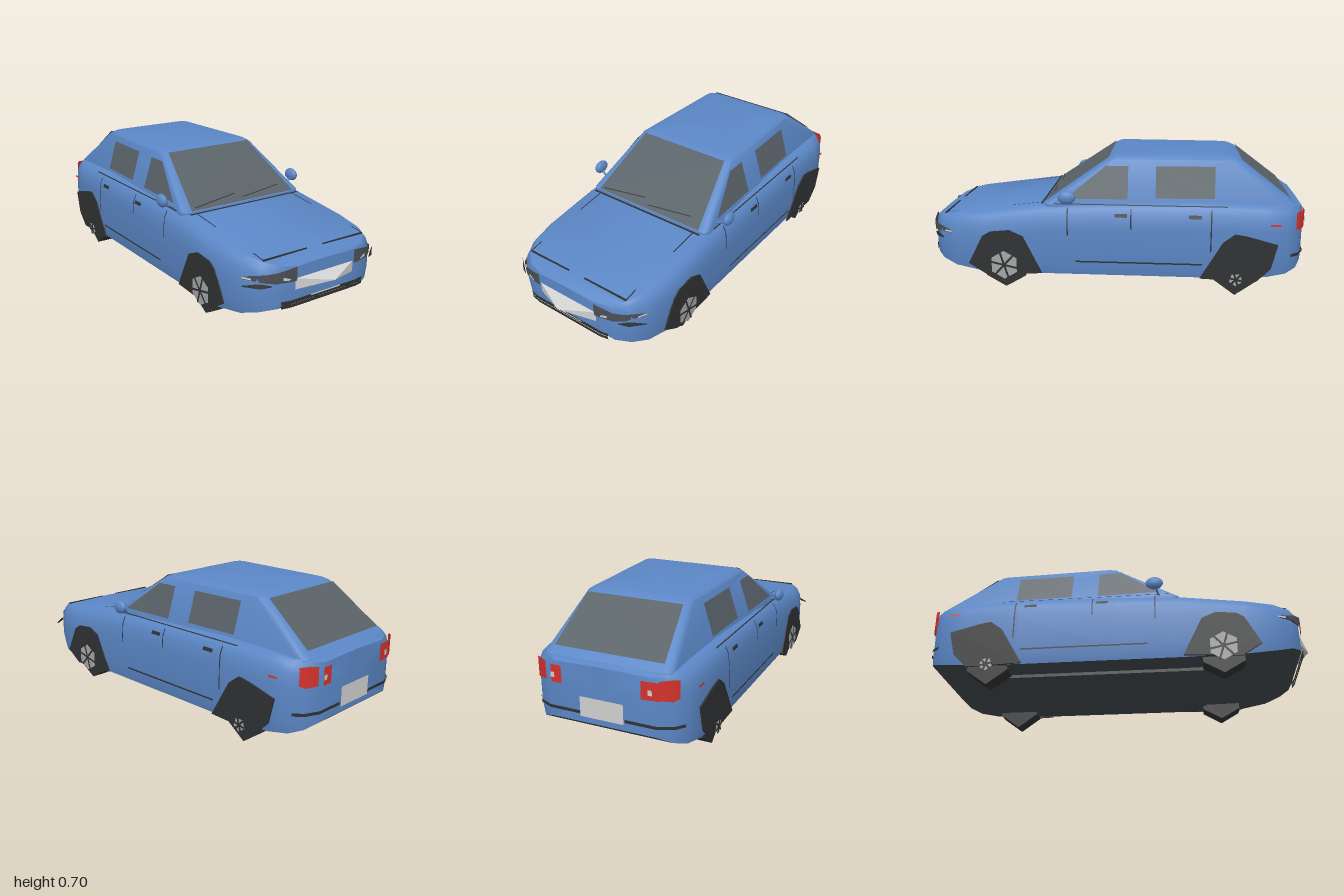
import * as THREE from 'three';
import { toCreasedNormals } from 'three/addons/utils/BufferGeometryUtils.js';

const mat = (name, color) => new THREE.MeshStandardMaterial({ name, color, side: THREE.DoubleSide });
const paint = mat('blue paint', 0x5b87c6), dark = mat('black trim', 0x303132), under = mat('slate underbody', 0x43494e),
  glass = mat('tinted glass', 0x596268), lampGlass = mat('dark lamp glass', 0x4c5054), silver = mat('silver', 0xd0d0d0),
  alloy = mat('grey alloy', 0xa4a5a6), red = mat('red lens', 0xd4322d);

// Piecewise linear lookup in a table sorted by its first column
function look(table, v, col = 1) {
  const up = table[0][0] < table[table.length - 1][0];
  for (let i = 0; i < table.length - 1; i++) {
    const a = table[i], b = table[i + 1];
    if (up ? v <= b[0] : v >= b[0]) return a[col] + (b[col] - a[col]) * (v - a[0]) / (b[0] - a[0]);
  }
  return table[table.length - 1][col];
}

// Surface through rows of points
function grid(rows, crease = 0.5) {
  const n = rows[0].length, idx = [];
  for (let r = 0; r < rows.length - 1; r++) for (let c = 0; c < n - 1; c++) {
    const a = r * n + c, d = a + n;
    idx.push(a, d, a + 1, a + 1, d, d + 1);
  }
  const g = new THREE.BufferGeometry();
  g.setAttribute('position', new THREE.Float32BufferAttribute(rows.flat(2), 3));
  g.setIndex(idx);
  return toCreasedNormals(g, crease);
}

// Body stations: z, half width, bottom, top
const stations = [
  [0.93, 0.2, 0.19, 0.352], [0.915, 0.28, 0.165, 0.365], [0.87, 0.345, 0.15, 0.38], [0.79, 0.385, 0.125, 0.395],
  [0.65, 0.41, 0.105, 0.41], [0.33, 0.41, 0.1, 0.452], [0, 0.41, 0.1, 0.468], [-0.5, 0.41, 0.1, 0.478],
  [-0.8, 0.405, 0.11, 0.47], [-0.9, 0.385, 0.125, 0.464], [-0.955, 0.34, 0.145, 0.458], [-0.985, 0.27, 0.17, 0.446]];
const topY = z => look(stations, z, 3) + 0.005;
const frontZ = x => look([[0, 0.93], [0.2, 0.93], [0.28, 0.915], [0.345, 0.87], [0.385, 0.79]], Math.abs(x)) + 0.006;
const rearZ = x => look([[0, -0.985], [0.27, -0.985], [0.34, -0.955], [0.385, -0.9], [0.405, -0.8]], Math.abs(x)) - 0.007;
const sideX = y => look([[0.1, 0.4], [0.17, 0.41], [0.35, 0.41], [0.415, 0.404], [0.455, 0.385], [0.475, 0.362]], y) + 0.005;

// Flat-walled part of the cabin between y 0.46 and 0.68
const mix = THREE.MathUtils.lerp;
const wall = y => {
  const t = (y - 0.46) / 0.22;
  return { y, hw: mix(0.372, 0.288, t), hb: mix(0.328, 0.272, t), zf: mix(0.325, 0.005, t), zb: mix(-0.955, -0.665, t) };
};
const wallX = (y, z) => { const w = wall(y); return mix(w.hb, w.hw, (z - w.zb) / (w.zf - w.zb)); };

export function createModel() {
  const car = new THREE.Group();
  car.name = 'car';
  const add = (name, geo, m) => {
    const mesh = new THREE.Mesh(geo, m);
    mesh.name = name;
    car.add(mesh);
    return mesh;
  };

  // Lower body, with painted upper shell and dark underside
  const upper = ([z, w, b, t]) => {
    const half = [[0.97, b], [1, b + 0.06], [1, t - 0.12], [0.985, t - 0.055], [0.94, t - 0.02], [0.88, t]];
    const right = half.map(([f, y]) => [f * w, y, z]);
    return [...right, [0, t + 0.004, z], ...right.map(([x, y]) => [-x, y, z]).reverse()];
  };
  const shell = stations.map(upper), n = shell[0].length;
  const cap = ([z, , b, t]) => Array.from({ length: n }, () => [0, (b + t) / 2, z]);
  add('bodyShell', grid([cap(stations[0]), ...shell, cap(stations.at(-1))], 0.7), paint);
  add('underside', grid(stations.map(([z, w, b]) => [-0.97, -0.5, 0.5, 0.97].map(f => [f * w, b, z]))), under);
  [stations[0], stations.at(-1)].forEach(([z, w, b, t]) =>
    add('endFill', grid([[[-0.97 * w, b, z], [0.97 * w, b, z]], [[0, (b + t) / 2, z], [0, (b + t) / 2, z]]]), paint));
  const floor = add('floorPan', new THREE.BoxGeometry(0.52, 0.02, 1.2), under);
  floor.position.set(0, 0.094, -0.15);

  // Cabin with rounded pillars and a softly crowned roof
  const cabinRing = ({ y, hw, hb, zf, zb }) => {
    const pts = [];
    [[hb, zb, 1, -1, 0.048], [hw, zf, 1, 1, 0.032], [-hw, zf, -1, 1, 0.032], [-hb, zb, -1, -1, 0.048]].forEach(([x, z, sx, sz, r], i) => {
      for (let k = 0; k <= 3; k++) {
        const a = (i - 1 + k / 3) * Math.PI / 2;
        pts.push([x - sx * r + r * Math.cos(a), y, z - sz * r + r * Math.sin(a)]);
      }
    });
    return [...pts, pts[0]];
  };
  const rings = [
    cabinRing({ ...wall(0.46), y: 0.435 }), cabinRing(wall(0.46)), cabinRing(wall(0.68)),
    cabinRing({ y: 0.694, hw: 0.27, hb: 0.25, zf: -0.02, zb: -0.64 }),
    cabinRing({ y: 0.7, hw: 0.235, hb: 0.22, zf: -0.06, zb: -0.6 })];
  rings.push(rings[0].map(() => [0, 0.703, -0.3]));
  add('cabin', grid(rings, 0.6), paint);

  // Windscreen, rear window and wipers
  const frontPt = (x, y, o) => [x, y + o * 0.8, wall(y).zf + o * 0.6];
  const rearPt = (x, y, o) => [x, y + o * 0.8, wall(y).zb - o * 0.6];
  const pane = (name, pt, y0, x0, y1, x1) =>
    add(name, grid([[pt(x0, y0, 0.005), pt(-x0, y0, 0.005)], [pt(x1, y1, 0.005), pt(-x1, y1, 0.005)]]), glass);
  pane('windscreen', frontPt, 0.462, 0.325, 0.684, 0.258);
  pane('rearWindow', rearPt, 0.488, 0.278, 0.676, 0.25);
  [[-0.3, 0.468, -0.04, 0.49], [0, 0.472, 0.25, 0.49]].forEach(([x0, y0, x1, y1]) =>
    add('wiper', grid([[frontPt(x0, y0, 0.01), frontPt(x0, y0 + 0.003, 0.01)], [frontPt(x1, y1, 0.01), frontPt(x1, y1 + 0.003, 0.01)]]), dark));

  // Centre line details on the nose and tail
  const wrap = (name, m, zAt, cols, o = 0) => // cols: x, low y, high y
    add(name, grid(cols.map(([x, a, b]) => [[x, a, zAt(x) + o], [x, b, zAt(x) + o]])), m);
  const corners = [[-0.177, 0.243], [0.177, 0.243], [0.177, 0.297], [-0.177, 0.297], [-0.177, 0.243]];
  add('frontPlate', grid([corners.map(() => [0, 0.27, 1]), corners.map(([x, y]) => [x, y, 0.932])], 0.1), silver);
  wrap('rearPlate', silver, rearZ, [[-0.11, 0.203, 0.3], [0.11, 0.203, 0.3]], -0.003);
  [0.165, 0.184].forEach(y => wrap('grilleBar', dark, frontZ, [[-0.255, y, y + 0.016], [-0.2, y, y + 0.016], [0.2, y, y + 0.016], [0.245, y, y + 0.016]], 0.004));
  wrap('grilleStrip', silver, frontZ, [[-0.09, 0.196, 0.203], [0.09, 0.196, 0.203]], 0.008);
  const seam = (name, x0, z0, x1, z1) => add(name, grid([[[x0, topY(z0), z0], [x0, topY(z1), z1]], [[x1, topY(z0), z0], [x1, topY(z1), z1]]]), dark);
  seam('bonnetRearSeam', -0.345, 0.334, 0.345, 0.346);

  // Wheel arch outlines as z, y
  const arches = {
    front: [[0.715, 0.15], [0.64, 0.295], [0.6, 0.32], [0.5, 0.33], [0.43, 0.3], [0.335, 0.105], [0.62, 0.09]],
    rear: [[-0.47, 0.1], [-0.58, 0.29], [-0.64, 0.335], [-0.7, 0.325], [-0.85, 0.285], [-0.82, 0.16], [-0.75, 0.09]]
  };

  for (const s of [1, -1]) {
    const side = s > 0 ? 'left' : 'right';

    // Side windows
    const sideWin = (name, pts) => add(side + name, grid([[0, 1], [3, 2]].map(r => r.map(i => {
      const [z, y] = pts[i];
      return [s * (wallX(y, z) + 0.005), y + 0.002, z];
    }))), glass);
    sideWin('FrontWindow', [[0.215, 0.487], [-0.1, 0.487], [-0.1, 0.648], [0.015, 0.648]]);
    sideWin('RearWindow', [[-0.24, 0.493], [-0.537, 0.493], [-0.537, 0.648], [-0.24, 0.648]]);

    // Door seams, handles, sill line and small side lamps
    const plate = (name, m, z0, z1, ys, o = 0) => add(side + name, grid(ys.map(y => [[s * (sideX(y) + o), y, z0], [s * (sideX(y) + o), y, z1]])), m);
    [[0.2, 0.31], [-0.12, 0.36], [-0.52, 0.24]].forEach(([z, y]) => plate('DoorSeam', dark, z + 0.003, z - 0.003, [y, 0.35, 0.415, 0.45]));
    [-0.038, -0.408].forEach(z => plate('DoorHandle', dark, z, z - 0.063, [0.41, 0.427], 0.005));
    plate('SillLine', dark, 0.16, -0.48, [0.17, 0.178]);
    plate('BeltLine', dark, 0.27, -0.6, [0.464, 0.468], 0.003);
    plate('SideMarker', red, -0.81, -0.86, [0.38, 0.39]);
    wrap(side + 'FrontRepeater', silver, frontZ, [[s * 0.362, 0.303, 0.312], [s * 0.382, 0.303, 0.312]], 0.006);

    // Bonnet seams
    const frontSeam = add(side + 'BonnetFrontSeam', new THREE.BoxGeometry(0.255, 0.008, 0.007), dark);
    frontSeam.position.set(s * 0.177, 0.385, 0.857);
    seam(side + 'BonnetRearSideSeam', s * 0.302, 0.34, s * 0.308, 0.5);
    seam(side + 'BonnetFrontSideSeam', s * 0.302, 0.79, s * 0.308, 0.86);

    // Headlamp, its pale inserts and the corner blade
    wrap(side + 'Headlamp', lampGlass, frontZ, [[0.175, 0.289, 0.356], [0.2, 0.289, 0.354], [0.28, 0.292, 0.343], [0.325, 0.296, 0.334], [0.38, 0.3, 0.313]].map(([x, a, b]) => [s * x, a, b]), 0.004);
    wrap(side + 'LampInsert', silver, frontZ, [[s * 0.215, 0.3, 0.307], [s * 0.25, 0.304, 0.32]], 0.009);
    add(side + 'CornerBlade', grid([[[s * 0.3, 0.28, 0.917], [s * 0.3, 0.285, 0.917]], [[s * 0.345, 0.273, 0.895], [s * 0.345, 0.295, 0.885]], [[s * 0.408, 0.282, 0.84], [s * 0.408, 0.287, 0.84]]]), dark);

    // Tail lamps (the right inner lens runs on to the outer one) and bumper line
    const inner = s > 0 ? 0.255 : 0.285;
    wrap(side + 'OuterTailLamp', red, rearZ, [[s * 0.285, 0.35, 0.438], [s * 0.34, 0.345, 0.445], [s * 0.36, 0.355, 0.44]], -0.004);
    wrap(side + 'InnerTailLamp', red, rearZ, [[s * 0.2, 0.345, 0.43], [s * inner, 0.345, 0.43]], -0.004);
    wrap(side + 'ReverseLamp', silver, rearZ, [[s * 0.235, 0.37, 0.395], [s * 0.255, 0.37, 0.395]], -0.007);
    wrap(side + 'RearBumperLine', dark, rearZ, [0.115, 0.27, 0.34, 0.375].map(x => [s * x, 0.213, 0.228]));

    // Door mirror on a thin arm
    const mirror = add(side + 'Mirror', new THREE.SphereGeometry(1, 12, 8).scale(0.022, 0.034, 0.045), paint);
    mirror.position.set(s * 0.422, 0.508, 0.2);
    const arm = new THREE.LineCurve3(new THREE.Vector3(s * 0.36, 0.468, 0.22), new THREE.Vector3(s * 0.415, 0.49, 0.205));
    add(side + 'MirrorArm', new THREE.TubeGeometry(arm, 1, 0.006, 5), paint);

    // Faceted wheels, arch liners and hubs
    for (const [end, z, y, r, sides, hubR, hubY] of [['Front', 0.53, 0.135, 0.118, 6, 0.075, 0.145], ['Rear', -0.65, 0.117, 0.112, 5, 0.035, 0.1]]) {
      const disc = (rad, w) => toCreasedNormals(new THREE.CylinderGeometry(rad, rad, w, sides).rotateZ(Math.PI / 2).rotateX(Math.PI / 2), 0.3);
      add(side + end + 'Wheel', disc(r, 0.09), dark).position.set(s * 0.338, y, z);
      const outline = new THREE.Shape(arches[end.toLowerCase()].map(p => new THREE.Vector2(...p)));
      const liner = new THREE.ExtrudeGeometry(outline, { depth: 0.008, bevelEnabled: false }).rotateY(-Math.PI / 2);
      add(side + end + 'ArchLiner', liner, dark).position.x = s > 0 ? 0.415 : -0.407;
      add(side + end + 'Hub', disc(hubR, 0.006), alloy).position.set(s * 0.414, hubY, z);
      for (let k = 0; k < 3; k++) {
        const spoke = add(side + end + 'Spoke', new THREE.BoxGeometry(0.005, hubR * 1.9, 0.01), dark);
        spoke.position.set(s * 0.416, hubY, z);
        spoke.rotation.x = k * Math.PI / 3 + 0.3;
      }
    }
  }
  return car;
}
